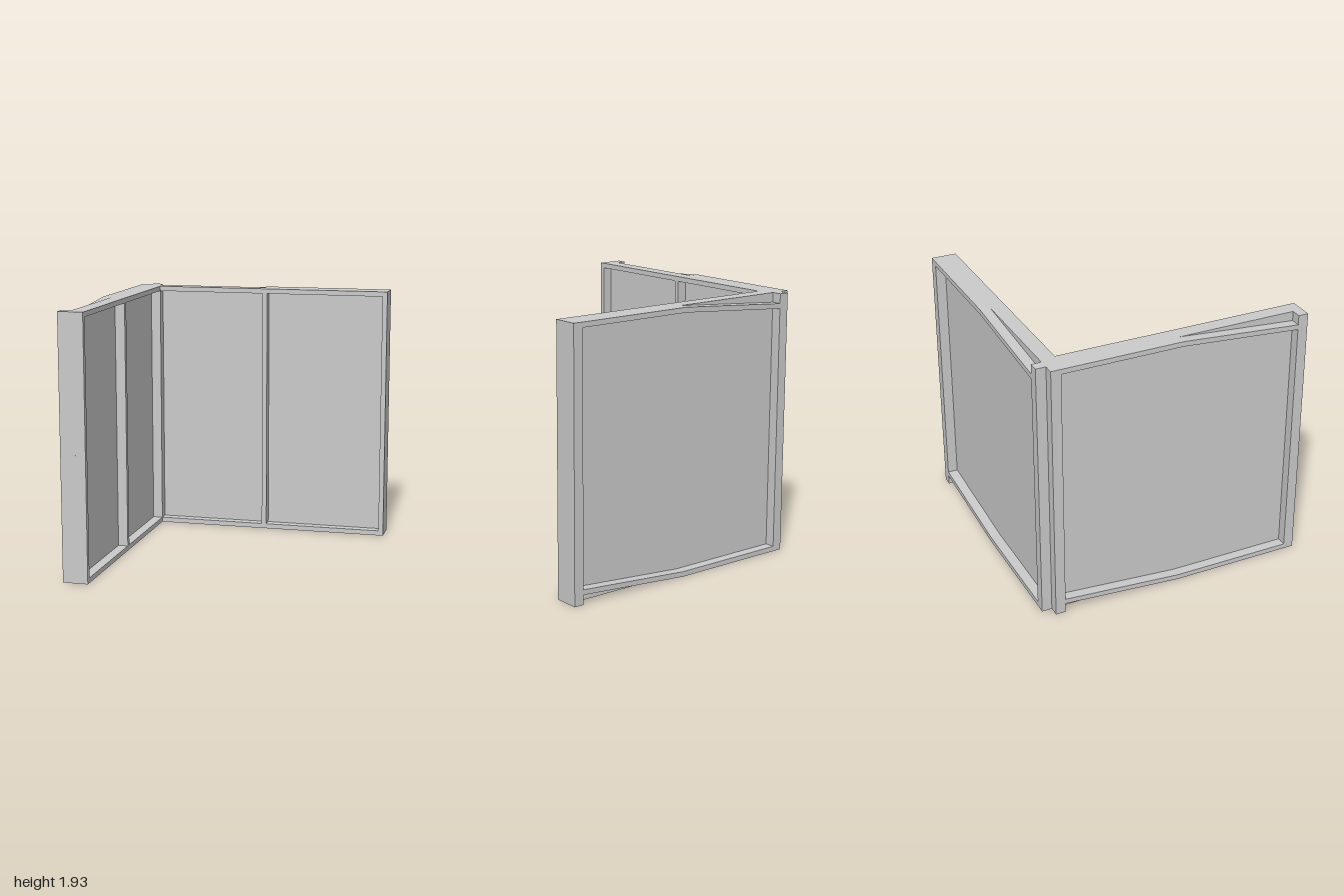
import * as THREE from 'three';

const U = 1 / 27;          // timber thickness
const H = 52 * U;          // wall height and length
const HALF = H / 2;
const OUT = 2 * U;         // depth of the outer frame
const PANEL = 3 * U;       // depth at the inner side of the panel
const DEEP = 5 * U;        // full wall depth
const DIP = 0.07;          // how far the bent rails drop at one end

const material = new THREE.MeshStandardMaterial({ color: 0xcccccc, flatShading: true });

function addMesh(group, name, geometry) {
  const mesh = new THREE.Mesh(geometry, material);
  mesh.name = name;
  group.add(mesh);
  return mesh;
}

// Box given by its limits on each axis
function addBox(group, name, [x0, x1], [y0, y1], [z0, z1]) {
  const mesh = addMesh(group, name, new THREE.BoxGeometry(x1 - x0, y1 - y0, z1 - z0));
  mesh.position.set((x0 + x1) / 2, (y0 + y1) / 2, (z0 + z1) / 2);
}

// Outer rail, straight for one half and sloping for the other
function addBentRail(group, name, ys) {
  const xs = [-HALF + 2 * U, 0, HALF - 2 * U];
  const lower = xs.map((x, i) => new THREE.Vector2(x, ys[i]));
  const upper = xs.map((x, i) => new THREE.Vector2(x, ys[i] + U)).reverse();
  const shape = new THREE.Shape([...lower, ...upper]);
  addMesh(group, name, new THREE.ExtrudeGeometry(shape, { depth: OUT, bevelEnabled: false }));
}

// Wall in local space: outer face at z = 0, inner face at z = DEEP
function createWall(name, innerEnd, innerPosts) {
  const wall = new THREE.Group();
  wall.name = name;
  const span = [-HALF, innerEnd];

  addBox(wall, 'panel', span, [0, H], [OUT, PANEL]);

  // Inner frame
  addBox(wall, 'innerBottomRail', span, [0, U], [PANEL, DEEP]);
  addBox(wall, 'innerTopRail', span, [H - U, H], [PANEL, DEEP]);
  for (const post of innerPosts) addBox(wall, 'innerPost', post, [U, H - U], [PANEL, DEEP]);

  // Outer frame
  addBox(wall, 'outerPost', [-HALF, -HALF + 2 * U], [0, H], [0, OUT]);
  addBox(wall, 'outerPost', [HALF - 2 * U, HALF], [0, H], [0, OUT]);
  addBentRail(wall, 'outerTopRail', [H - U - DIP, H - U, H - U]);
  addBentRail(wall, 'outerBottomRail', [0, 0, DIP]);
  return wall;
}

export function createModel() {
  const model = new THREE.Group();
  model.name = 'cornerWalls';

  const backWall = createWall('backWall', HALF, [
    [-HALF, -HALF + 3 * U],        // corner post
    [-U / 2, U / 2],               // middle post
    [HALF - U, HALF],              // free end post
  ]);
  backWall.position.set(U, 0, -1);

  // The side wall butts against the back wall's inner face
  const sideWall = createWall('sideWall', HALF - 3 * U, [
    [-HALF, -HALF + U],
    [-1.5 * U, -0.5 * U],
  ]);
  sideWall.rotation.y = Math.PI / 2;
  sideWall.position.set(-1, 0, U);

  model.add(backWall, sideWall);
  return model;
}
